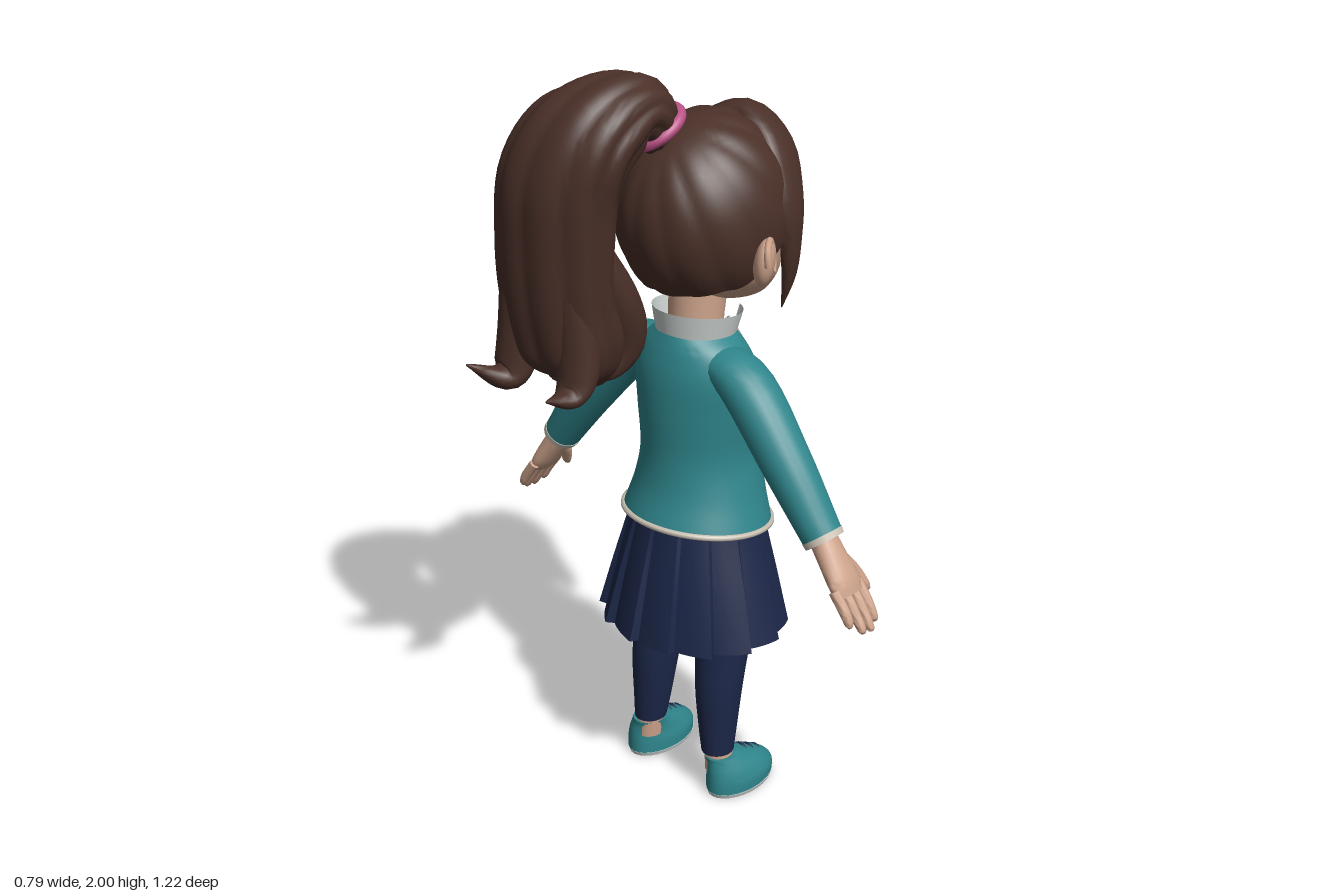
import * as THREE from 'three';
import { toCreasedNormals } from 'three/addons/utils/BufferGeometryUtils.js';

const V = (x, y, z) => new THREE.Vector3(x, y, z);
const mat = (name, color, side = THREE.FrontSide) => {
  const m = new THREE.MeshStandardMaterial({ color, side });
  m.name = name;
  return m;
};

// Surface through elliptical sections [x, y, z, a, b]; returns a function (angle, t) -> point
function surface(pts, { up = false, ref = V(1, 0, 0), center, shape, bend = 0, warp } = {}) {
  const path = new THREE.CatmullRomCurve3(pts.map(p => V(p[0], p[1], p[2])), false, 'catmullrom');
  const size = new THREE.CatmullRomCurve3(pts.map(p => V(p[3], p[4], 0)), false, 'catmullrom');
  return (ang, t, k = 1) => {
    const c = path.getPoint(t), r = size.getPoint(t);
    const T = up ? V(0, 1, 0) : path.getTangent(t);
    const S = center ? c.clone().sub(center) : ref.clone();
    S.addScaledVector(T, -S.dot(T)).normalize();
    const N = T.clone().cross(S);
    const f = k * (shape ? shape(ang, t) : 1);
    const w = Math.max(r.y, 0) * Math.sin(ang) * f;
    c.addScaledVector(S, Math.max(r.x, 0) * Math.cos(ang) * f - bend * w * w).addScaledVector(N, w);
    return warp ? warp(c, t) : c;
  };
}

// Grid of triangles over a point function f(column 0..1, row 0..rows)
function grid(f, cols, rows, crease = 0.9) {
  const pos = [], idx = [];
  for (let i = 0; i <= rows; i++)
    for (let j = 0; j <= cols; j++) pos.push(...f(j / cols, i).toArray());
  for (let i = 0; i < rows; i++)
    for (let j = 0; j < cols; j++) {
      const a = i * (cols + 1) + j, c = a + cols + 1;
      idx.push(a, a + 1, c, a + 1, c + 1, c);
    }
  const g = new THREE.BufferGeometry();
  g.setAttribute('position', new THREE.Float32BufferAttribute(pos, 3));
  g.setIndex(idx);
  return toCreasedNormals(g, crease);
}

function loft(pts, opt = {}) {
  const { seg = 24, rows = 20, cap = true, gap = 0 } = opt;
  const s = surface(pts, opt), e = cap ? 1 : 0;
  return grid((u, i) => {
    const end = cap && (i === 0 || i === rows + 2);
    const t = Math.min(Math.max((i - e) / rows, 0), 1);
    return s(-Math.PI / 2 + gap + u * (Math.PI * 2 - 2 * gap), t, end ? 0 : 1);
  }, seg, rows + 2 * e, opt.crease);
}

export function createModel() {
  const M = {
    hair: mat('hair brown', 0x4a3028), skin: mat('skin', 0xcda38b),
    teal: mat('jacket teal', 0x2f868c, THREE.DoubleSide), navy: mat('navy', 0x1c2748, THREE.DoubleSide),
    cream: mat('cream', 0xcdc4b6, THREE.DoubleSide), pink: mat('hair tie pink', 0xbd5288),
    white: mat('off white', 0xc9d0cd, THREE.DoubleSide), iris: mat('iris brown', 0x5b3524),
    dark: mat('lash dark', 0x211512), lip: mat('lip', 0xae7a6a),
  };
  const body = new THREE.Group();
  body.name = 'girl';
  const add = (name, geo, m) => {
    const mesh = new THREE.Mesh(geo, m);
    mesh.name = name;
    body.add(mesh);
    return mesh;
  };
  const tube = (name, pts, r, m, n = 40) =>
    add(name, new THREE.TubeGeometry(new THREE.CatmullRomCurve3(pts), n, r, 6), m);
  const ball = (name, p, s, m) => {
    const b = add(name, new THREE.SphereGeometry(1, 24, 16), m);
    b.position.set(...p);
    b.scale.set(...s);
    return b;
  };

  // Head and neck
  const head = add('head', loft([
    [0, 1.383, 0.26, 0.035, 0.045], [0, 1.4, 0.232, 0.085, 0.088], [0, 1.43, 0.2, 0.128, 0.128],
    [0, 1.48, 0.175, 0.168, 0.158], [0, 1.55, 0.155, 0.19, 0.185], [0, 1.62, 0.15, 0.194, 0.192],
    [0, 1.7, 0.145, 0.186, 0.19], [0, 1.77, 0.14, 0.15, 0.165], [0, 1.82, 0.14, 0.08, 0.09],
  ], { up: true, seg: 40, rows: 32 }), M.skin);
  add('neck', loft([[0, 1.22, 0.1, 0.08, 0.08], [0, 1.33, 0.105, 0.07, 0.072], [0, 1.48, 0.12, 0.075, 0.08]],
    { up: true, rows: 8 }), M.skin);
  ball('nose', [0, 1.525, 0.34], [0.025, 0.02, 0.03], M.skin);
  ball('noseBridge', [0, 1.55, 0.327], [0.02, 0.045, 0.02], M.skin);

  // Facial details laid onto the face surface
  const ray = new THREE.Raycaster();
  const onFace = (x, y, lift) => {
    ray.set(V(x, y, 1), V(0, 0, -1));
    const hit = ray.intersectObject(head)[0];
    return V(x, y, (hit ? hit.point.z : 0.3) + lift);
  };
  const disc = (name, x, y, rx, ry, lift, m) => {
    const g = new THREE.RingGeometry(0, 1, 24, 3), p = g.attributes.position;
    for (let i = 0; i < p.count; i++) {
      const v = onFace(x + p.getX(i) * rx, y + p.getY(i) * ry, lift);
      p.setXYZ(i, v.x, v.y, v.z);
    }
    g.computeVertexNormals();
    add(name, g, m);
  };
  const line = (name, pts, r, m) => tube(name, pts.map(([x, y]) => onFace(x, y, 0.003)), r, m, 20);
  for (const s of [1, -1]) {
    const side = s > 0 ? 'left' : 'right';
    disc(side + 'EyeWhite', s * 0.1, 1.574, 0.05, 0.03, 0.003, M.white);
    disc(side + 'Iris', s * 0.095, 1.575, 0.034, 0.03, 0.005, M.iris);
    disc(side + 'Pupil', s * 0.095, 1.575, 0.015, 0.016, 0.007, M.dark);
    disc(side + 'EyeGlint', s * 0.095 + 0.01, 1.587, 0.005, 0.005, 0.009, M.white);
    line(side + 'Lashes', [[s * 0.05, 1.576], [s * 0.072, 1.601], [s * 0.105, 1.608], [s * 0.14, 1.594], [s * 0.162, 1.594]], 0.007, M.dark);
    line(side + 'Brow', [[s * 0.05, 1.64], [s * 0.08, 1.65], [s * 0.12, 1.648], [s * 0.145, 1.636]], 0.005, M.hair);
    // Ears
    const ear = ball(side + 'Ear', [s * 0.212, 1.545, 0.115], [0.026, 0.062, 0.046], M.skin);
    ear.rotation.set(-0.15, s * -0.55, s * -0.2);
    const rim = add(side + 'EarRim', new THREE.TorusGeometry(0.038, 0.009, 8, 24, Math.PI * 1.35), M.skin);
    rim.position.set(s * 0.228, 1.553, 0.118);
    rim.rotation.set(-0.15, Math.PI / 2 - s * 0.55, 0);
    rim.scale.y = 1.25;
  }
  line('mouth', [[-0.06, 1.481], [-0.03, 1.473], [0.005, 1.471], [0.04, 1.474], [0.068, 1.483]], 0.004, M.lip);
  line('lowerLip', [[-0.025, 1.461], [0.005, 1.457], [0.035, 1.461]], 0.005, M.skin);

  // Hair drawn over the skull towards the tie, cut higher at the face
  const smooth = THREE.MathUtils.smoothstep;
  add('hairCap', grid((u, i) => {
    const phi = (1 - u * 2) * Math.PI;
    const lim = 1.05 + 1.22 * smooth(Math.abs(phi), 0.5, 2.0) + 0.1 * smooth(Math.abs(phi), 2, 2.8);
    const th = lim * Math.min(i / 28, 1), k = i > 28 ? 0.82 : 1;
    const p = V(Math.sin(th) * Math.sin(phi), Math.cos(th), Math.sin(th) * Math.cos(phi));
    const ang = Math.atan2(p.x - 0.1, p.z * 0.85 + p.y * 0.5);
    const away = smooth(p.distanceTo(V(0.12, 0.84, -0.52)), 0.2, 0.8);
    const f = k * (1 + 0.022 * away * Math.abs(Math.sin(ang * 7)));
    return V(p.x * 0.214 * f, 1.63 + p.y * 0.245 * f, 0.14 + p.z * 0.233 * f);
  }, 96, 29), M.hair);

  const skull = V(0, 1.62, 0.14);
  const lock = (name, pts) => add(name, loft(pts, { center: skull, bend: 2.2, seg: 20, rows: 24,
    shape: a => 1 + 0.04 * Math.cos(a * 6) }), M.hair);
  lock('sweptFringe', [[0.09, 1.81, 0.2, 0.02, 0.04], [0, 1.838, 0.285, 0.036, 0.085], [-0.1, 1.775, 0.295, 0.036, 0.105],
    [-0.165, 1.67, 0.26, 0.034, 0.09], [-0.188, 1.58, 0.245, 0.026, 0.06], [-0.185, 1.48, 0.245, 0.018, 0.036], [-0.168, 1.385, 0.24, 0.002, 0.004]]);
  lock('foreheadFringe', [[0.1, 1.81, 0.22, 0.02, 0.03], [0.055, 1.825, 0.325, 0.03, 0.065], [-0.02, 1.76, 0.36, 0.028, 0.07],
    [-0.09, 1.69, 0.332, 0.026, 0.055], [-0.15, 1.61, 0.275, 0.004, 0.006]]);
  lock('centreFringe', [[0.11, 1.81, 0.22, 0.02, 0.03], [0.1, 1.8, 0.305, 0.026, 0.045], [0.06, 1.75, 0.352, 0.026, 0.05],
    [0, 1.7, 0.36, 0.02, 0.036], [-0.06, 1.65, 0.345, 0.003, 0.004]]);
  lock('leftFringe', [[0.1, 1.82, 0.2, 0.02, 0.04], [0.15, 1.78, 0.255, 0.028, 0.055], [0.188, 1.69, 0.235, 0.022, 0.042],
    [0.2, 1.6, 0.205, 0.012, 0.02], [0.19, 1.5, 0.195, 0.002, 0.004]]);

  // Ponytail with curled ends
  add('ponytail', loft([
    [0.035, 1.835, 0.01, 0.056, 0.056], [0.055, 1.9, -0.055, 0.105, 0.09], [0.1, 1.86, -0.158, 0.15, 0.112],
    [0.15, 1.75, -0.208, 0.165, 0.12], [0.17, 1.6, -0.212, 0.165, 0.118], [0.18, 1.45, -0.2, 0.16, 0.118],
    [0.18, 1.33, -0.165, 0.15, 0.128], [0.185, 1.25, -0.155, 0.115, 0.09], [0.19, 1.208, -0.17, 0.045, 0.04],
  ], { seg: 80, rows: 48, shape: (a, t) => 0.95 + 0.08 * Math.abs(Math.sin(a * 4.5 + 2 * t)) }), M.hair);
  const curls = [
    [[0.26, 1.55, -0.25, 0.05, 0.04], [0.27, 1.33, -0.25, 0.06, 0.05], [0.28, 1.235, -0.29, 0.05, 0.035], [0.31, 1.285, -0.39, 0.003, 0.003]],
    [[0.26, 1.55, -0.17, 0.05, 0.05], [0.27, 1.36, -0.12, 0.06, 0.06], [0.31, 1.265, -0.09, 0.04, 0.05], [0.355, 1.275, -0.09, 0.025, 0.03], [0.39, 1.335, -0.1, 0.002, 0.002]],
    [[0.09, 1.5, -0.25, 0.05, 0.04], [0.08, 1.32, -0.23, 0.06, 0.05], [0.07, 1.235, -0.27, 0.045, 0.03], [0.06, 1.25, -0.36, 0.003, 0.003]],
    [[0.1, 1.55, -0.15, 0.05, 0.05], [0.1, 1.42, -0.08, 0.065, 0.06], [0.12, 1.31, -0.045, 0.07, 0.06], [0.15, 1.235, -0.09, 0.06, 0.035], [0.16, 1.22, -0.16, 0.01, 0.01]],
  ];
  curls.forEach((c, i) => add('ponytailCurl' + (i + 1), loft(c, { seg: 16 }), M.hair));
  const tie = add('hairTie', new THREE.TorusGeometry(0.068, 0.015, 10, 36), M.pink);
  tie.position.set(0.037, 1.854, -0.001);
  tie.quaternion.setFromUnitVectors(V(0, 0, 1), V(0.2, 0.8, -0.5).normalize());

  // Open jacket over a shirt
  const torso = [[0, 0.805, 0.118, 0.203, 0.187], [0, 0.9, 0.126, 0.175, 0.166], [0, 1, 0.131, 0.158, 0.159], [0, 1.12, 0.127, 0.168, 0.157],
    [0, 1.22, 0.112, 0.172, 0.138], [0, 1.29, 0.103, 0.145, 0.114], [0, 1.335, 0.1, 0.09, 0.095]];
  const drop = (v, t) => v.setY(v.y - 0.12 * (v.z - 0.115) * Math.max(0, 1 - 3 * t));
  const gap = 0.37;
  const jacketOpt = { up: true, seg: 56, rows: 30, cap: false, gap, warp: drop };
  add('jacket', loft(torso, jacketOpt), M.teal);
  const js = surface(torso, jacketOpt), hem = [];
  for (let i = 0; i <= 40; i++) hem.push(js(-Math.PI / 2 + gap + (i / 40) * 2 * (Math.PI - gap), 0));
  tube('jacketHemTrim', hem, 0.008, M.cream, 80);
  for (const s of [1, -1]) {
    const edge = [];
    for (let i = 0; i <= 16; i++) edge.push(js(-Math.PI / 2 + s * gap, i / 16));
    tube(s > 0 ? 'leftFrontTrim' : 'rightFrontTrim', edge, 0.008, M.cream);
  }
  add('shirt', loft(torso.slice(1).map(p => [p[0], p[1], p[2], p[3] - 0.014, p[4] - 0.012]), { up: true, seg: 40 }), M.cream);
  const collar = add('collar', new THREE.CylinderGeometry(0.116, 0.096, 0.092, 40, 3, true, 0.45, Math.PI * 2 - 0.9), M.white);
  collar.position.set(0, 1.335, 0.108);
  collar.rotation.x = 0.1;

  // Pleated skirt
  add('skirt', loft([[0, 0.5, 0.103, 0.26, 0.224], [0, 0.65, 0.109, 0.224, 0.196], [0, 0.8, 0.116, 0.185, 0.167], [0, 0.94, 0.128, 0.155, 0.152]], {
    up: true, seg: 140, rows: 12, cap: false, crease: 0.5,
    shape: (a, t) => { const f = (a + 7) * 14 / (Math.PI * 2); return 1 + 0.1 * (1 - t) * (f - Math.floor(f + 1e-6) - 0.5); },
  }), M.navy);

  for (const s of [1, -1]) {
    const side = s > 0 ? 'left' : 'right';
    const limb = (name, pts, m, opt) => add(side + name, loft(pts.map(p => [p[0] * s, ...p.slice(1)]), opt), m);
    const Z = { ref: V(0, 0, 1), seg: 20, rows: 14 };
    // Sleeve, cuff and hand
    limb('Sleeve', [[0.06, 1.275, 0.095, 0.06, 0.035], [0.19, 1.228, 0.082, 0.073, 0.066], [0.33, 1.073, 0.07, 0.066, 0.065], [0.455, 0.905, 0.07, 0.054, 0.051]], M.teal, Z);
    limb('Cuff', [[0.453, 0.908, 0.07, 0.056, 0.053], [0.463, 0.895, 0.07, 0.054, 0.051]], M.cream, Z);
    limb('Palm', [[0.45, 0.91, 0.07, 0.037, 0.034], [0.49, 0.855, 0.07, 0.044, 0.031], [0.525, 0.805, 0.072, 0.052, 0.027], [0.545, 0.775, 0.072, 0.046, 0.018]], M.skin, Z);
    [[0.028, 0.583, 0.713], [0.058, 0.6, 0.692], [0.088, 0.602, 0.688], [0.116, 0.592, 0.7]].forEach(([z, x, y], i) =>
      limb('Finger' + (i + 1), [[0.53, 0.795, z, 0.014, 0.015], [0.565, 0.75, z, 0.014, 0.014], [x - 0.004, y + 0.012, z, 0.012, 0.011], [x, y, z, 0.005, 0.005]], M.skin, Z));
    limb('Thumb', [[0.495, 0.85, 0.095, 0.02, 0.02], [0.51, 0.81, 0.13, 0.017, 0.016], [0.53, 0.768, 0.152, 0.013, 0.012], [0.536, 0.752, 0.162, 0.005, 0.005]], M.skin, { ...Z, ref: V(1, 0, 0) });
    // Leg and shoe
    const U = { up: true, seg: 28, rows: 16 };
    limb('Legging', [[0.126, 0.128, 0.068, 0.043, 0.047], [0.122, 0.2, 0.072, 0.051, 0.055], [0.117, 0.33, 0.08, 0.064, 0.067], [0.11, 0.5, 0.104, 0.077, 0.076], [0.095, 0.74, 0.112, 0.093, 0.1]], M.navy, U);
    limb('Ankle', [[0.132, 0.07, 0.07, 0.038, 0.042], [0.127, 0.14, 0.069, 0.037, 0.041]], M.skin, U);
    limb('Sole', [[0.149, 0, 0.135, 0.066, 0.112], [0.149, 0.012, 0.135, 0.07, 0.117]], M.white, U);
    limb('Shoe', [[0.149, 0.01, 0.135, 0.068, 0.116], [0.149, 0.043, 0.134, 0.068, 0.115], [0.147, 0.074, 0.118, 0.059, 0.097], [0.141, 0.099, 0.092, 0.05, 0.068], [0.135, 0.116, 0.076, 0.045, 0.053]], M.teal, U);
    for (let i = 0; i < 3; i++) {
      const y = 0.104 - i * 0.0135, z = 0.15 + i * 0.027, x = s * (0.141 + i * 0.003);
      tube(side + 'Lace' + (i + 1), [V(x - 0.036, y - 0.018, z - 0.008), V(x, y + 0.002, z), V(x + 0.036, y - 0.018, z - 0.008)], 0.005, M.navy, 10);
    }
  }

  // The figure faces +x
  body.rotation.y = Math.PI / 2;
  const model = new THREE.Group();
  model.name = 'ponytailGirl';
  model.add(body);
  return model;
}
